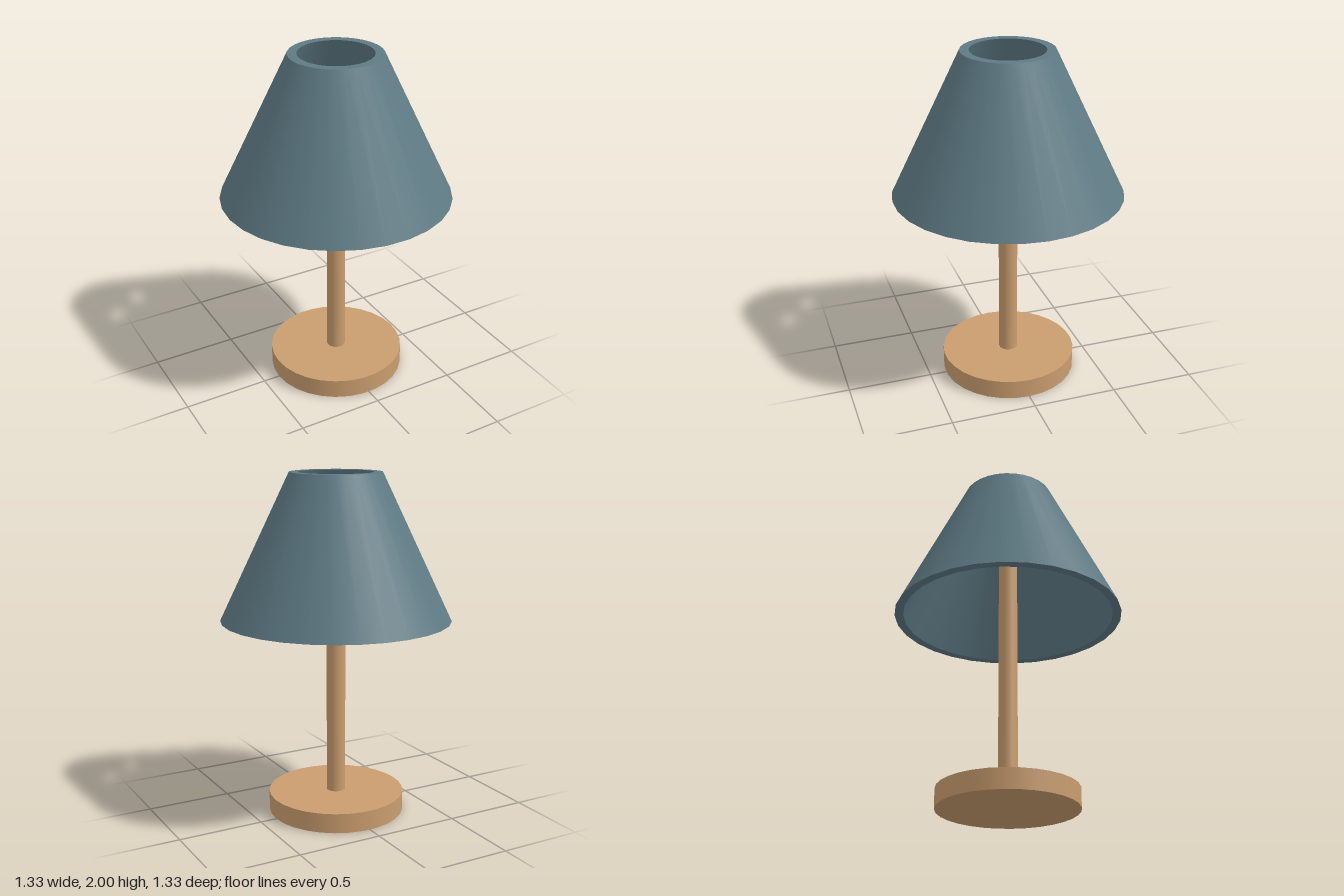
import * as THREE from 'three';
import { toCreasedNormals } from 'three/addons/utils/BufferGeometryUtils.js';

const SIDES = 30;

export function createModel() {
  const lamp = new THREE.Group();
  lamp.name = 'tableLamp';

  const wood = new THREE.MeshStandardMaterial({ color: 0xc99d6e });
  const fabric = new THREE.MeshStandardMaterial({ color: 0x5f7b85 });
  const glow = new THREE.MeshStandardMaterial({ color: 0xe6d890 });

  function add(name, geometry, material, y = 0) {
    const mesh = new THREE.Mesh(geometry, material);
    mesh.name = name;
    mesh.position.y = y;
    lamp.add(mesh);
  }

  // Upright cylinder standing on y = bottom, with a corner on the x axis
  function disc(radius, bottom, top) {
    return new THREE.CylinderGeometry(radius, radius, top - bottom, SIDES, 1, false, Math.PI / 2)
      .translate(0, (bottom + top) / 2, 0);
  }

  // Base and stem
  add('base', disc(0.4, 0, 0.115), wood);
  add('stem', disc(0.055, 0.115, 1.76), wood);

  // Bulb on top of the stem
  add('bulb', new THREE.SphereGeometry(0.085, 32, 20), glow, 1.815);

  // Thick conical shade, open at top and bottom
  const wall = [
    [0.667, 1.16], [0.265, 2], [0.213, 2], [0.616, 1.16], [0.667, 1.16],
  ].map(([r, y]) => new THREE.Vector2(r, y));
  const shade = new THREE.LatheGeometry(wall, SIDES, Math.PI / 2);
  add('shade', toCreasedNormals(shade, Math.PI / 6), fabric);

  return lamp;
}
